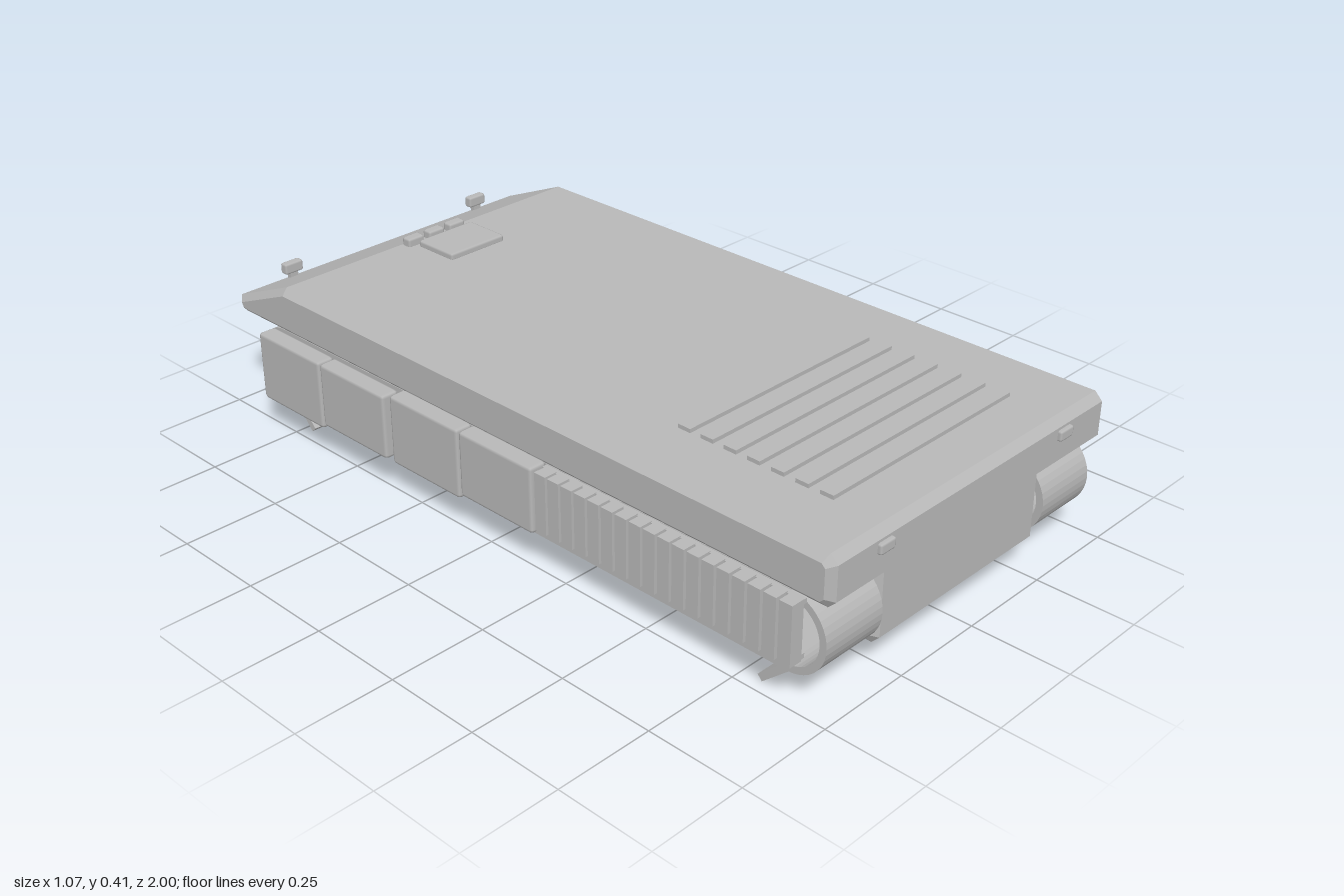
import * as THREE from 'three';
import { RoundedBoxGeometry } from 'three/addons/geometries/RoundedBoxGeometry.js';

export function createModel() {
  const model = new THREE.Group();
  const grey = new THREE.MeshStandardMaterial({ color: 0xb8b8b8 });
  grey.name = 'plain grey';

  function add(name, geometry, x = 0, y = 0, z = 0, parent = model) {
    const mesh = new THREE.Mesh(geometry, grey);
    mesh.name = name;
    mesh.position.set(x, y, z);
    parent.add(mesh);
    return mesh;
  }
  const box = (w, h, d) => new THREE.BoxGeometry(w, h, d);
  const soft = (w, h, d, r) => new RoundedBoxGeometry(w, h, d, 1, r);

  // Side profile of [z, y] points, extruded across x with chamfered edges
  function hullGeometry(points, halfWidth, bevel) {
    const shape = new THREE.Shape(points.map(([z, y]) => new THREE.Vector2(-z, y)));
    const geometry = new THREE.ExtrudeGeometry(shape, {
      depth: 2 * (halfWidth - bevel), bevelEnabled: true, bevelSegments: 1,
      bevelSize: bevel, bevelThickness: bevel, bevelOffset: -bevel,
    });
    return geometry.translate(0, 0, -(halfWidth - bevel)).rotateY(Math.PI / 2);
  }

  add('upperHull', hullGeometry([
    [0.965, 0.26], [0.985, 0.28], [0.985, 0.366], [0.965, 0.386],
    [-0.78, 0.386], [-0.985, 0.3], [-0.965, 0.26],
  ], 0.485, 0.018));

  add('lowerHull', hullGeometry([
    [0.935, 0.064], [0.955, 0.084], [0.955, 0.275],
    [-0.965, 0.275], [-0.965, 0.155], [-0.87, 0.064],
  ], 0.29, 0.016));

  // Hollow track band: a rounded loop with a smaller loop cut out
  function loopPath(path, radius) {
    const y = 0.161, front = -0.87, rear = 0.805;
    path.moveTo(front, y - radius);
    path.lineTo(rear, y - radius);
    path.absarc(rear, y, radius, -Math.PI / 2, Math.PI / 2, false);
    path.lineTo(front, y + radius);
    path.absarc(front, y, radius, Math.PI / 2, Math.PI * 1.5, false);
    return path;
  }
  const trackShape = loopPath(new THREE.Shape(), 0.1);
  trackShape.holes.push(loopPath(new THREE.Path(), 0.082));
  const trackGeometry = new THREE.ExtrudeGeometry(trackShape, {
    depth: 0.18, bevelEnabled: false, curveSegments: 10,
  }).translate(0, 0, -0.09).rotateY(Math.PI / 2);

  for (const s of [1, -1]) {
    const side = new THREE.Group();
    side.name = s > 0 ? 'leftRunningGear' : 'rightRunningGear';
    model.add(side);
    add('track', trackGeometry, s * 0.38, 0, 0, side);

    // Angled flaps under both ends of the track
    add('frontFlap', box(0.178, 0.018, 0.095), s * 0.38, 0.037, 0.835, side).rotation.x = -0.72;
    add('rearFlap', box(0.178, 0.018, 0.09), s * 0.38, 0.037, -0.747, side).rotation.x = 0.82;

    // Skirt boxes: the rear pair sits further out, alternate ones hang lower
    for (let i = 0; i < 4; i++) {
      const bottom = i % 2 ? 0.086 : 0.098;
      add('skirtBox', soft(0.05, 0.27 - bottom, 0.244, 0.009),
        s * (i < 2 ? 0.496 : 0.511), (0.27 + bottom) / 2, 0.043 - i * 0.248, side);
    }

    // Upright slats on thin rails
    for (let i = 0; i < 18; i++) {
      add('slat', box(0.036, 0.15, 0.034), s * 0.499, 0.188, 0.899 - i * 0.0417, side);
    }
    for (const y of [0.122, 0.255]) {
      add('slatRail', box(0.014, 0.012, 0.75), s * 0.478, y, 0.54, side);
    }

    // Lamps and rear hooks
    add('frontLamp', soft(0.05, 0.027, 0.02, 0.006), s * 0.318, 0.346, 0.985);
    add('rearLampStem', box(0.024, 0.04, 0.014), s * 0.318, 0.315, -0.965);
    add('rearLamp', soft(0.056, 0.03, 0.024, 0.006), s * 0.318, 0.337, -0.966);
    add('hookBracket', box(0.06, 0.03, 0.03), s * 0.305, 0.175, -0.952);
    add('rearHook', new THREE.CylinderGeometry(0.018, 0.018, 0.045, 12).rotateX(Math.PI / 2),
      s * 0.318, 0.175, -0.978);
  }

  // Deck vents
  for (let i = 0; i < 7; i++) {
    add('deckVent', box(0.62, 0.014, 0.035), 0, 0.389, 0.43 + i * 0.066);
  }

  // Hatch and its three sight blocks
  add('hatch', soft(0.18, 0.022, 0.132, 0.007), 0.018, 0.392, -0.675);
  for (let i = -1; i <= 1; i++) {
    add('sightBlock', soft(0.052, 0.028, 0.03, 0.007), i * 0.07, 0.394, -0.765);
  }

  return model;
}
